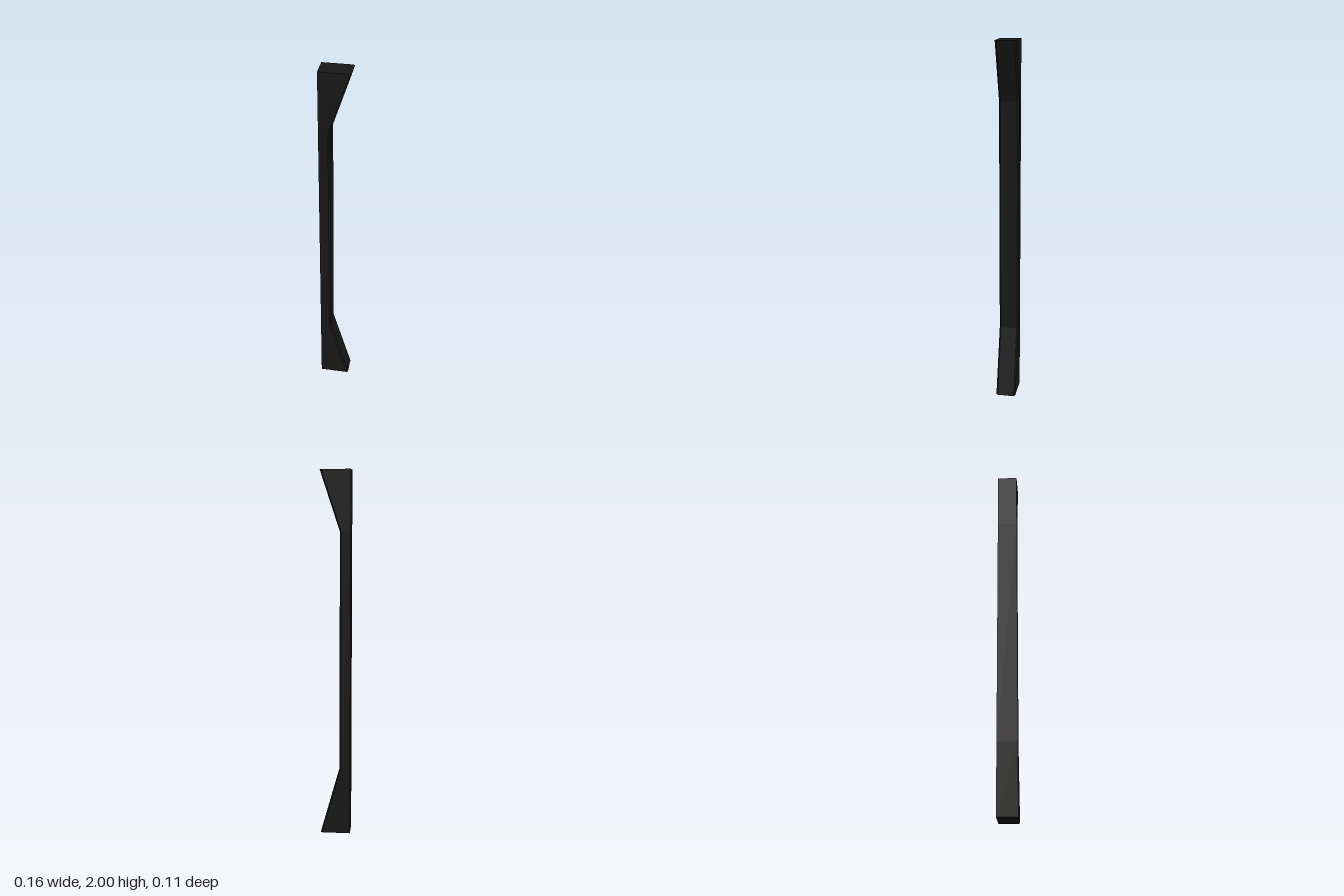
import * as THREE from 'three';

const BACK = -0.082, HALF_DEPTH = 0.0545, CHAMFER = 0.008;

// Horizontal cross-section: square rear corners, chamfered corners on the grip side
function section(y, x) {
  return [
    [BACK, HALF_DEPTH], [x - CHAMFER, HALF_DEPTH], [x, HALF_DEPTH - CHAMFER],
    [x, -HALF_DEPTH + CHAMFER], [x - CHAMFER, -HALF_DEPTH], [BACK, -HALF_DEPTH],
  ].map(([px, pz]) => [px, y, pz]);
}

export function createModel() {
  // Flared foot, slim straight waist, flared top
  const rings = [[0, 0.082], [0.38, -0.024], [1.68, -0.024], [2, 0.082]]
    .map(([y, x]) => section(y, x));
  const n = rings[0].length, pos = [];
  const tri = (a, b, c) => pos.push(...a, ...b, ...c);

  // Side walls
  for (let r = 0; r < rings.length - 1; r++) {
    const lo = rings[r], hi = rings[r + 1];
    for (let i = 0; i < n; i++) {
      const j = (i + 1) % n;
      tri(lo[i], lo[j], hi[j]);
      tri(lo[i], hi[j], hi[i]);
    }
  }
  // End caps
  const bottom = rings[0], top = rings[rings.length - 1];
  for (let i = 1; i < n - 1; i++) {
    tri(top[0], top[i], top[i + 1]);
    tri(bottom[0], bottom[i + 1], bottom[i]);
  }

  const geometry = new THREE.BufferGeometry();
  geometry.setAttribute('position', new THREE.Float32BufferAttribute(pos, 3));
  geometry.computeVertexNormals();

  const bar = new THREE.Mesh(geometry,
    new THREE.MeshStandardMaterial({ color: 0x181818, flatShading: true }));
  bar.name = 'flaredBar';

  const group = new THREE.Group();
  group.name = 'handle';
  group.add(bar);
  return group;
}
